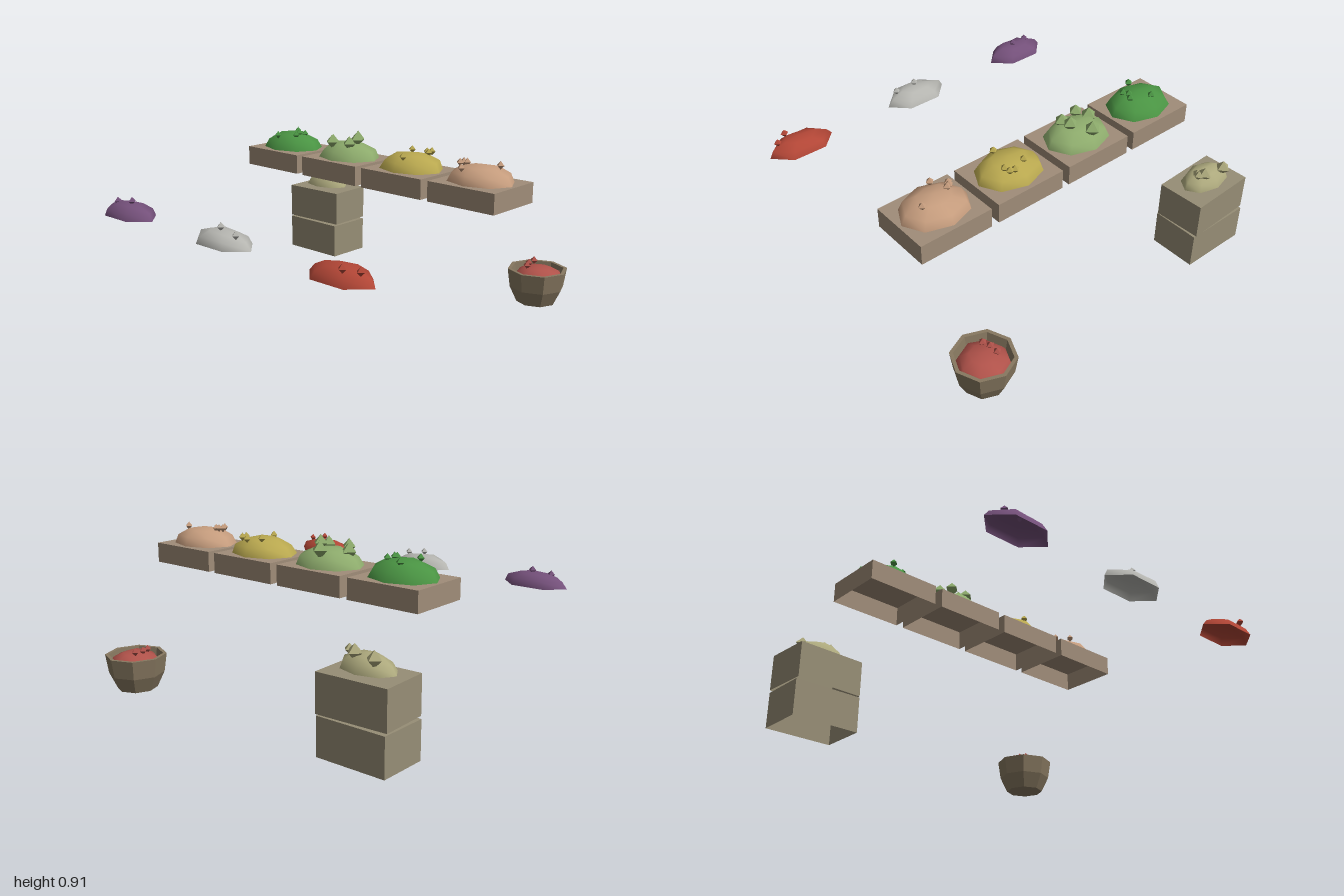
import * as THREE from 'three';

const mat = (color, flatShading = false) =>
  new THREE.MeshStandardMaterial({ color, flatShading, side: THREE.DoubleSide });

function add(parent, name, geometry, material, x = 0, y = 0, z = 0) {
  const mesh = new THREE.Mesh(geometry, material);
  mesh.name = name;
  mesh.position.set(x, y, z);
  parent.add(mesh);
  return mesh;
}

// Upturned crate: a box standing on y = 0 without its underside
function openBox(w, h, d) {
  const g = new THREE.BoxGeometry(w, h, d).translate(0, h / 2, 0);
  const index = Array.from(g.index.array);
  index.splice(18, 6);
  g.setIndex(index);
  g.clearGroups();
  return g;
}

// Low dome with slightly uneven upper rings
function dome(rx, h, rz, sides, seed) {
  const g = new THREE.SphereGeometry(1, sides, 3, 0, Math.PI * 2, 0, Math.PI / 2);
  const p = g.attributes.position;
  for (let i = 0; i < p.count; i++) {
    const x = p.getX(i), y = p.getY(i), z = p.getZ(i);
    const k = y > 0.01 ? 1 + 0.04 * Math.sin(5 * x + 7 * z + seed * 2.3) : 1;
    p.setXYZ(i, x * k, y > 0.95 ? y : y * k, z * k);
  }
  g.scale(rx, h, rz);
  g.computeVertexNormals();
  // Share normals across the seam and the pole so the dome stays smooth
  const n = g.attributes.normal, sums = new Map();
  const key = i => [p.getX(i), p.getY(i), p.getZ(i)].map(v => Math.round(v * 1e4) || 0).join();
  for (let i = 0; i < p.count; i++) {
    const v = new THREE.Vector3().fromBufferAttribute(n, i);
    sums.has(key(i)) ? sums.get(key(i)).add(v) : sums.set(key(i), v);
  }
  for (let i = 0; i < p.count; i++) {
    const v = sums.get(key(i)).clone().normalize();
    n.setXYZ(i, v.x, v.y, v.z);
  }
  return g;
}

// Heap of goods: a dome plus diamond lumps given as [x, y, z, radius]
function heap(parent, name, color, [x, y, z], [rx, h, rz], sides, lumps) {
  const group = new THREE.Group();
  group.name = name;
  parent.add(group);
  add(group, 'mound', dome(rx, h, rz, sides, x * 5), mat(color), x, y, z);
  const lumpMat = mat(color, true);
  for (const [lx, ly, lz, r = 0.023] of lumps)
    add(group, 'lump', new THREE.OctahedronGeometry(r), lumpMat, lx, ly, lz);
}

export function createModel() {
  const model = new THREE.Group();
  model.name = 'marketGoods';

  // Row of four display trays with heaps
  const trayMat = mat(0xa08d79, true);
  const trays = [
    ['greenHeap', 0x4a9443, [[-0.70, 0.845, -0.38], [-0.59, 0.845, -0.33], [-0.61, 0.85, -0.30],
      [-0.60, 0.843, -0.265], [-0.70, 0.84, -0.21]]],
    ['paleGreenHeap', 0x8dab6c, [[-0.23, 0.85, -0.41, 0.047], [-0.158, 0.866, -0.32, 0.043],
      [-0.318, 0.835, -0.29, 0.047], [-0.275, 0.85, -0.235, 0.04], [-0.158, 0.85, -0.255, 0.043]]],
    ['yellowHeap', 0xb9a84f, [[0.206, 0.85, -0.375], [0.286, 0.843, -0.405], [0.32, 0.85, -0.405],
      [0.325, 0.848, -0.37], [0.27, 0.84, -0.215]]],
    ['tanHeap', 0xc59c7d, [[0.805, 0.85, -0.35], [0.612, 0.85, -0.30], [0.628, 0.85, -0.307],
      [0.602, 0.848, -0.28], [0.66, 0.838, -0.21]]],
  ];
  trays.forEach(([name, color, lumps], i) => {
    const x = -0.674 + i * 0.4615;
    add(model, 'tray', openBox(0.417, 0.11, 0.352), trayMat, x, 0.647, -0.311);
    heap(model, name, color, [x, 0.758, -0.312], [0.193, 0.093, 0.154], 8, lumps);
  });

  // Two stacked crates with a heap on top
  const crateMat = mat(0x978e76, true);
  const crate = openBox(0.393, 0.203, 0.272);
  add(model, 'lowerCrate', crate, crateMat, -0.798, 0, -0.737);
  add(model, 'upperCrate', crate, crateMat, -0.797, 0.214, -0.738).rotation.y = 0.042;
  heap(model, 'crateHeap', 0xada97d, [-0.797, 0.43, -0.737], [0.155, 0.08, 0.1], 8, [
    [-0.872, 0.506, -0.794, 0.042], [-0.746, 0.51, -0.773, 0.042],
    [-0.708, 0.514, -0.762, 0.028], [-0.725, 0.505, -0.74, 0.028]]);

  // Eight-sided bowl with rim, hollow inside
  const profile = [[0, 0], [0.11, 0], [0.152, 0.088], [0.168, 0.193], [0.148, 0.193], [0.132, 0.09], [0, 0.07]]
    .map(([r, y]) => new THREE.Vector2(r, y));
  add(model, 'bowl', new THREE.LatheGeometry(profile, 8), mat(0x877860, true), 0.798, 0, -0.778);
  heap(model, 'bowlHeap', 0xb0524a, [0.8, 0.14, -0.778], [0.138, 0.07, 0.136], 8, [
    [0.748, 0.22, -0.82], [0.748, 0.217, -0.767], [0.762, 0.215, -0.725]]);

  // Three small six-sided piles in front
  const piles = [
    ['purplePile', 0x74507a, -0.765, [[-0.853, 0.598, 0.848], [-0.745, 0.612, 0.832]]],
    ['whitePile', 0xb5b5b0, 0.014, [[0.01, 0.618, 0.848], [0.131, 0.6, 0.858]]],
    ['redPile', 0xb24636, 0.796, [[0.858, 0.607, 0.896], [0.925, 0.597, 0.853]]],
  ];
  for (const [name, color, x, lumps] of piles)
    heap(model, name, color, [x, 0.53, 0.834], [0.196, 0.075, 0.112], 6, lumps);

  return model;
}
